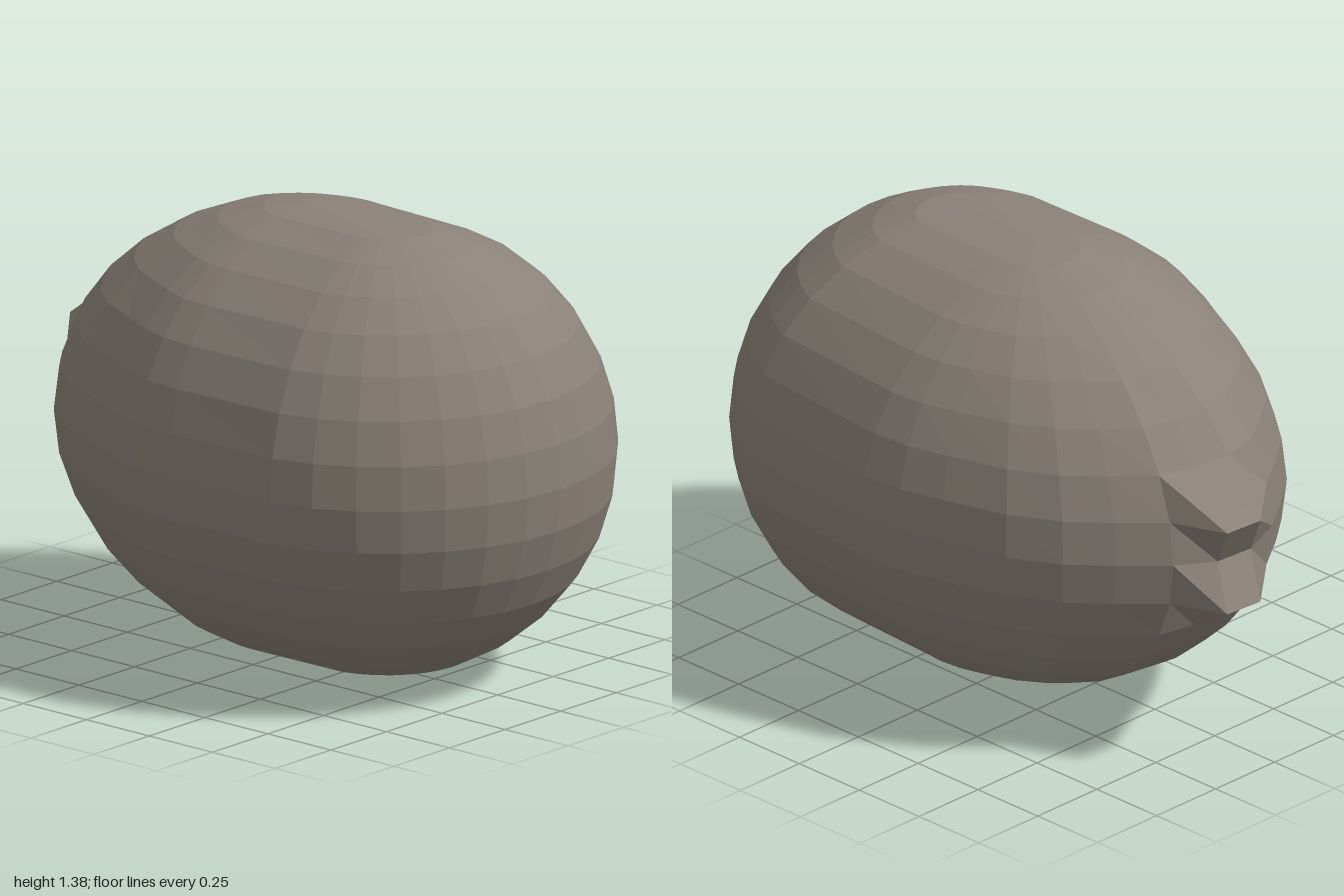
import * as THREE from 'three';

const R = 0.69;
const STEP = Math.PI / 16;

// z shift of each rear column, from the +x side round the back to the -x side
const REAR = [0.05, 0.045, 0.03, -0.06, -0.11, -0.145, -0.2, -0.19, -0.2,
  -0.18, -0.13, -0.1, -0.05, 0.04, 0.05, 0.045, 0.05];

// pinched points at the back: [x, z] by column, for the middle ring and its two neighbours
const NOTCH = { 7: [0.15, -0.91], 8: [0.02, -0.92] };
const TIP = { 7: [0.19, -0.99], 8: [0.06, -1.0] };

function createPebble() {
  const sphere = new THREE.SphereGeometry(R, 32, 16);
  const p = sphere.attributes.position;
  for (let i = 0; i < p.count; i++) {
    let x = p.getX(i), z = p.getZ(i);
    const y = p.getY(i);
    const r = Math.hypot(x, z);
    if (r > 0.001) {
      const column = (Math.round(Math.atan2(-z, x) / STEP) + 32) % 32;
      const ring = Math.abs(Math.round(Math.asin(y / R) / STEP));
      const pinch = ring === 0 ? NOTCH[column] : ring === 1 ? TIP[column] : null;
      if (pinch) [x, z] = pinch;
      else if (column <= 16) z += REAR[column] * (r / R) ** 2; // tapered rear
      else if (column === 31) z += 0.07 * (r / R); // flat strip on one side
      else z += 0.31; // front half pulled forward
    }
    p.setXYZ(i, x, y + R, z);
  }
  const geometry = sphere.toNonIndexed();
  geometry.computeVertexNormals();
  return geometry;
}

export function createModel() {
  const group = new THREE.Group();
  group.name = 'pebble';
  const stone = new THREE.MeshStandardMaterial({ color: 0x8a8178, flatShading: true });
  stone.name = 'warm grey stone';
  const body = new THREE.Mesh(createPebble(), stone);
  body.name = 'stoneBody';
  group.add(body);
  return group;
}
